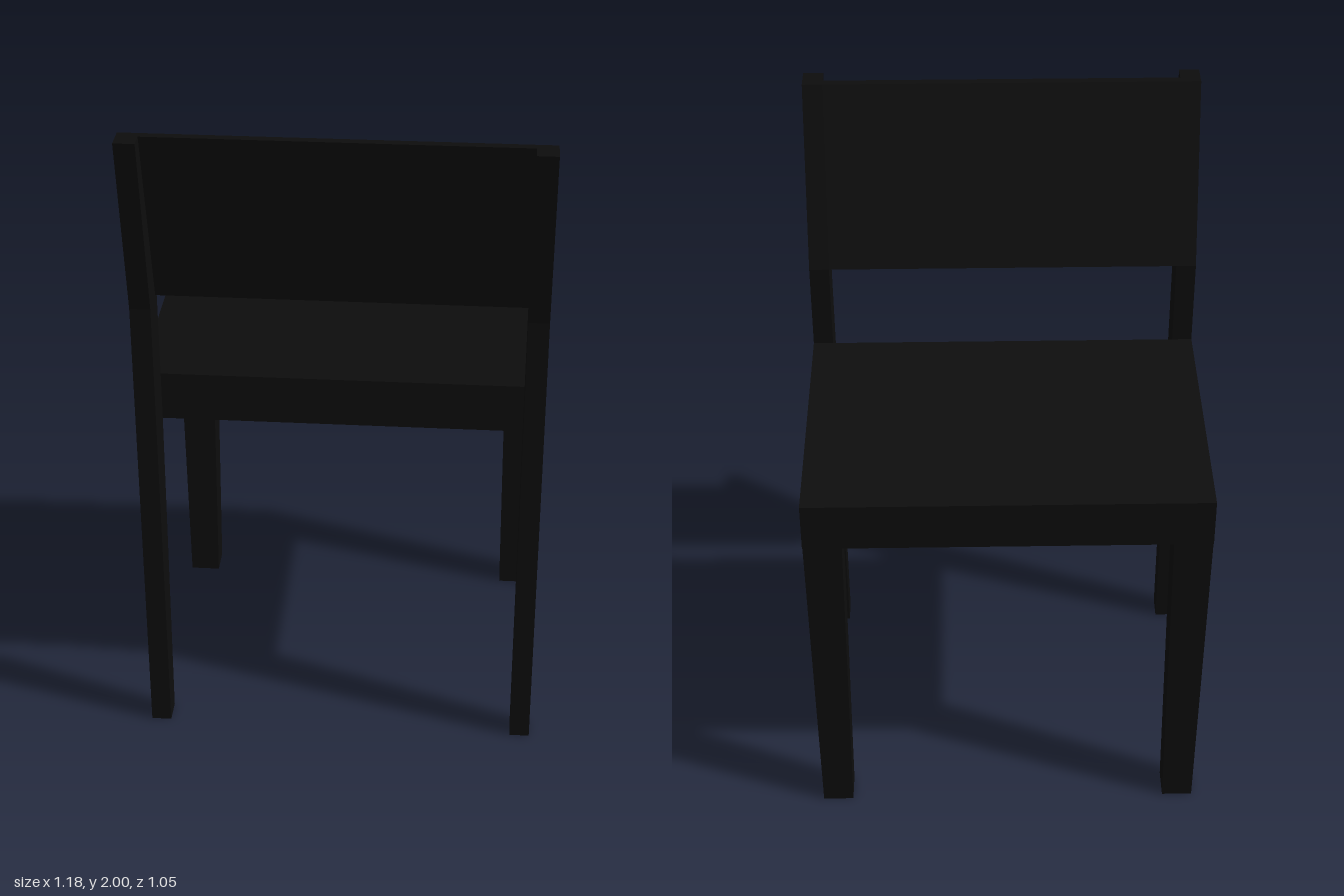
import * as THREE from 'three';

export function createModel() {
  const chair = new THREE.Group();
  chair.name = 'chair';
  const blackWood = new THREE.MeshStandardMaterial({ color: 0x0d0d0d });
  blackWood.name = 'blackWood';

  const add = (name, geometry) => {
    const mesh = new THREE.Mesh(geometry, blackWood);
    mesh.name = name;
    chair.add(mesh);
    return mesh;
  };

  // Box given by its limits on each axis
  const block = (name, [x0, x1], [y0, y1], [z0, z1]) =>
    add(name, new THREE.BoxGeometry(x1 - x0, y1 - y0, z1 - z0)
      .translate((x0 + x1) / 2, (y0 + y1) / 2, (z0 + z1) / 2));

  // Side profile of [z, y] points, extruded across x
  const sideProfile = (name, points, x0, x1) => {
    const shape = new THREE.Shape(points.map(([z, y]) => new THREE.Vector2(z, y)));
    const geometry = new THREE.ExtrudeGeometry(shape, { depth: x1 - x0, bevelEnabled: false });
    return add(name, geometry.rotateY(-Math.PI / 2).translate(x1, 0, 0));
  };

  const seatTop = 1.18, seatBottom = 1.03, halfWidth = 0.59;
  const front = -0.522, back = 0.302, rail = 0.05;

  // Seat board and the apron below it, open underneath
  block('seat', [-halfWidth, halfWidth], [1.14, seatTop], [front, back]);
  block('frontRail', [-halfWidth, halfWidth], [seatBottom, 1.14], [front, front + rail]);
  block('backRail', [-halfWidth, halfWidth], [seatBottom, 1.14], [back - rail, back]);

  for (const [side, s] of [['left', 1], ['right', -1]]) {
    const span = (a, b) => (s > 0 ? [a, b] : [-b, -a]);
    block(side + 'Rail', span(halfWidth - rail, halfWidth), [seatBottom, 1.14], [front + rail, back - rail]);

    // Front leg, tapering evenly to the floor
    const leg = new THREE.BoxGeometry(0.115, 1.14, 0.115).translate(0, 0.57, 0);
    const p = leg.attributes.position;
    for (let i = 0; i < p.count; i++) {
      if (p.getY(i) < 0.01) p.setXYZ(i, p.getX(i) * 0.8, 0, p.getZ(i) * 0.8);
    }
    leg.computeVertexNormals();
    add(side + 'FrontLeg', leg).position.set(s * (halfWidth - 0.0575), 0, front + 0.0575);

    // Back leg running up into the leaning back post
    sideProfile(side + 'BackPost', [
      [0.342, 0], [0.417, 0], [0.417, 1.45], [0.525, 2],
      [0.45, 2], [back, 1.45], [back, seatBottom],
    ], ...span(0.53, halfWidth));
  }

  // Thin leaning back panel, flush with the seat side of the posts
  sideProfile('backPanel', [
    [back, 1.45], [back + 0.025, 1.45], [0.475, 2], [0.45, 2],
  ], -0.53, 0.53);

  return chair;
}
